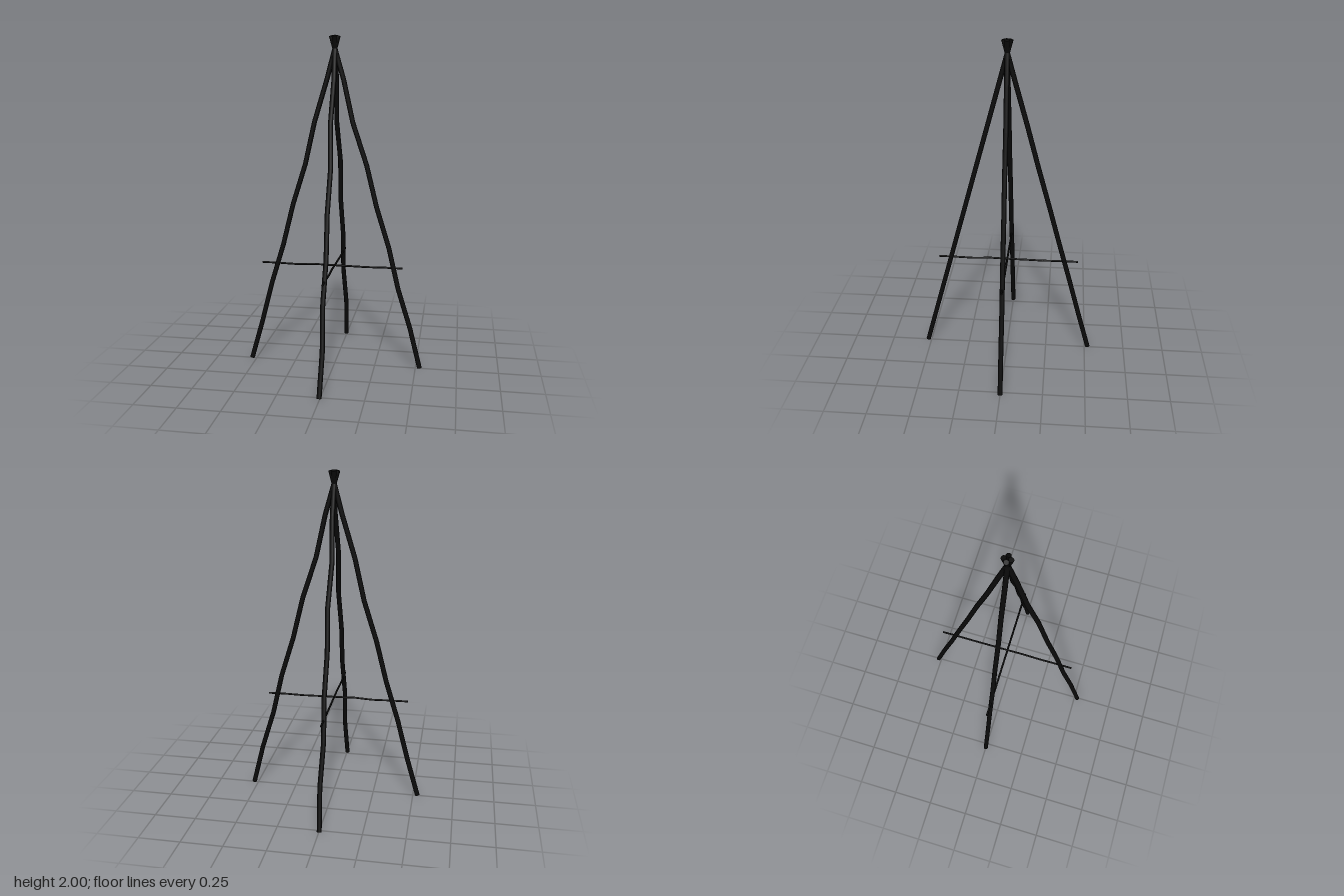
import * as THREE from 'three';

const material = new THREE.MeshStandardMaterial({ color: 0x0a0a0a });

// Curve running straight from point to point, with one tube ring per point
class BentLine extends THREE.Curve {
  constructor(points) {
    super();
    this.points = points;
  }
  getPoint(t, target = new THREE.Vector3()) {
    const n = this.points.length - 1;
    const i = Math.min(Math.floor(t * n + 1e-9), n - 1);
    return target.lerpVectors(this.points[i], this.points[i + 1], t * n - i);
  }
  getPointAt(t, target) { return this.getPoint(t, target); }
  getTangentAt(t, target) { return this.getTangent(t, target); }
}

// Slightly crooked pole with flat ends
function makePole(name, points, radius, sides) {
  const pole = new THREE.Group();
  pole.name = name;
  const curve = new BentLine(points);
  const shaft = new THREE.Mesh(
    new THREE.TubeGeometry(curve, points.length - 1, radius, sides), material);
  shaft.name = 'shaft';
  pole.add(shaft);
  for (const t of [0, 1]) {
    const cap = new THREE.Mesh(new THREE.CircleGeometry(radius, sides), material);
    cap.name = 'endCap';
    const outward = curve.getTangentAt(t).multiplyScalar(t ? 1 : -1);
    cap.position.copy(points[t * (points.length - 1)]);
    cap.quaternion.setFromUnitVectors(new THREE.Vector3(0, 0, 1), outward);
    pole.add(cap);
  }
  return pole;
}

export function createModel() {
  const model = new THREE.Group();
  model.name = 'poleFrame';

  // Distance from the axis at each bend, from the foot up past the crossing
  const leftReach = [0.525, 0.463, 0.386, 0.328, 0.251, 0.19, 0.107, 0.052, -0.02];
  const rightReach = [0.528, 0.457, 0.393, 0.317, 0.255, 0.177, 0.121, 0.046, -0.02];
  // Sideways wobble of the front and back legs
  const frontWobble = [-0.003, 0.004, -0.005, 0.003, -0.002, 0.006, -0.006, 0.003, 0];
  const backWobble = [-0.003, 0.005, -0.005, 0.003, -0.003, 0.006, -0.007, 0.003, 0];
  const last = leftReach.length - 1;
  const height = (i) => THREE.MathUtils.lerp(0.006, 1.994, i / last);
  const straight = (i) => THREE.MathUtils.lerp(0.52, -0.02, i / last);
  const V = (x, y, z) => new THREE.Vector3(x, y, z);

  // Four legs crossing just below the top
  const legs = {
    leftLeg: leftReach.map((r, i) => V(r, height(i), 0)),
    rightLeg: rightReach.map((r, i) => V(-r, height(i), 0)),
    frontLeg: frontWobble.map((w, i) => V(w, height(i), straight(i))),
    backLeg: backWobble.map((w, i) => V(w, height(i), -straight(i))),
  };
  for (const [name, points] of Object.entries(legs)) {
    model.add(makePole(name, points, 0.0145, 10));
  }

  // Two thin crossbars tied across the legs
  const barRise = [0.633, 0.632, 0.629, 0.635, 0.632, 0.631, 0.629, 0.631, 0.63];
  const along = (i, a, b) => THREE.MathUtils.lerp(a, b, i / (barRise.length - 1));
  model.add(makePole('sideCrossbar',
    barRise.map((y, i) => V(along(i, -0.45, 0.41), y, 0)), 0.006, 8));
  model.add(makePole('frontBackCrossbar',
    barRise.map((y, i) => V(0, y, along(i, 0.425, -0.435))), 0.006, 8));

  return model;
}
